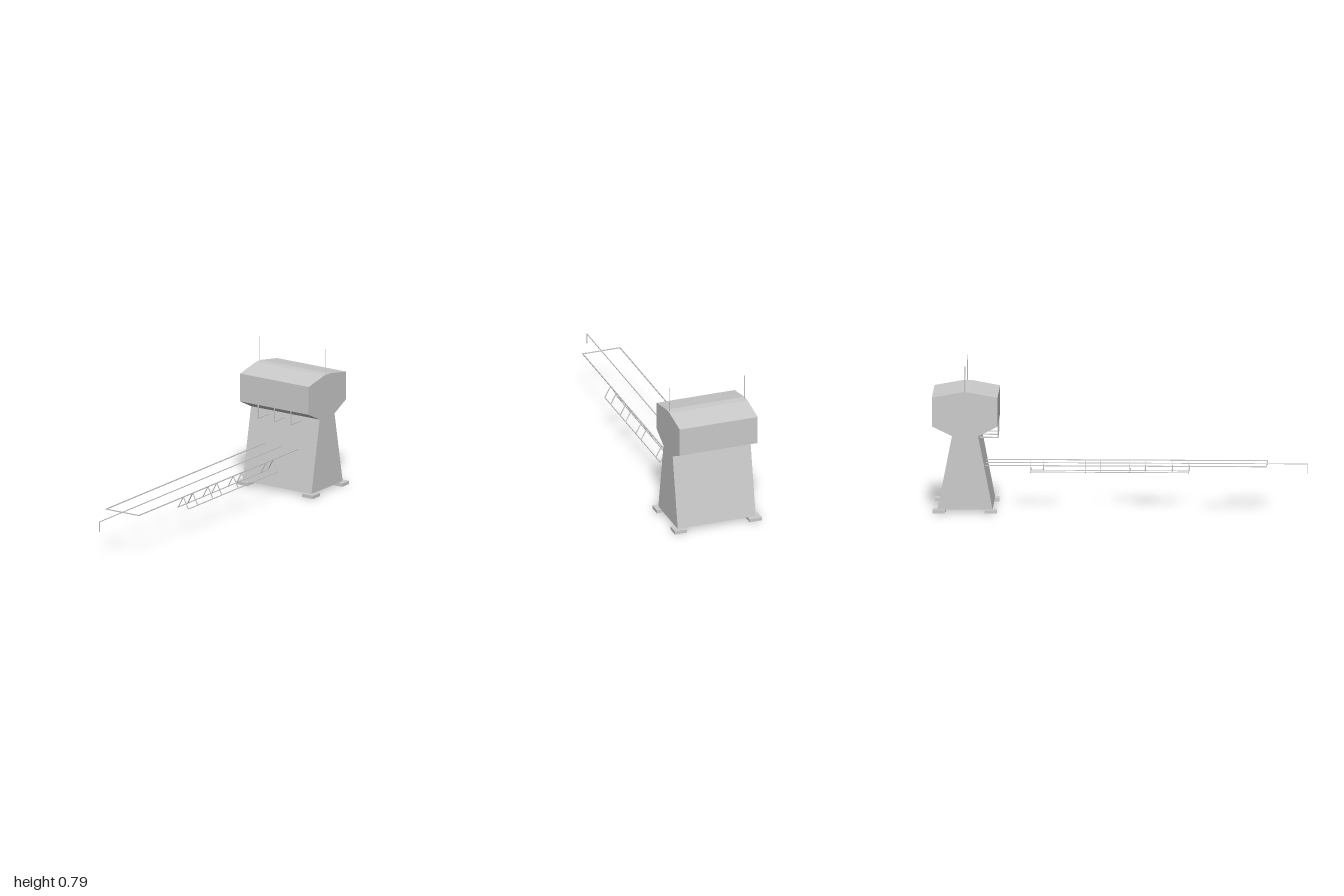
import * as THREE from 'three';

const material = new THREE.MeshStandardMaterial({ color: 0xcccccc, flatShading: true });

function add(parent, name, geometry, x = 0, y = 0, z = 0) {
  const mesh = new THREE.Mesh(geometry, material);
  mesh.name = name;
  mesh.position.set(x, y, z);
  parent.add(mesh);
  return mesh;
}

// Thin square bar between two points
function bar(parent, name, from, to, width = 0.004) {
  const a = new THREE.Vector3(...from), b = new THREE.Vector3(...to);
  const mesh = add(parent, name, new THREE.BoxGeometry(width, width, a.distanceTo(b) + width));
  mesh.position.copy(a).add(b).multiplyScalar(0.5);
  mesh.lookAt(b);
  return mesh;
}

function group(parent, name) {
  const g = new THREE.Group();
  g.name = name;
  parent.add(g);
  return g;
}

export function createModel() {
  const model = new THREE.Group();
  model.name = 'towerWithBoom';

  // Tower: side profile (z, y) extruded across x
  const profile = [
    [-0.676, 0.018], [-0.753, 0.413], [-0.65, 0.465], [-0.65, 0.62], [-0.8, 0.648],
    [-0.845, 0.648], [-1, 0.62], [-1, 0.465], [-0.893, 0.413], [-0.97, 0.018],
  ];
  const shape = new THREE.Shape(profile.map(([z, y]) => new THREE.Vector2(-z, y)));
  const tower = new THREE.ExtrudeGeometry(shape, { depth: 0.444, bevelEnabled: false });
  tower.translate(0, 0, -0.222).rotateY(Math.PI / 2);
  add(model, 'towerBody', tower);

  // Corner feet and roof antennas
  for (const side of [-1, 1]) {
    for (const z of [-0.686, -0.962]) {
      add(model, 'foot', new THREE.BoxGeometry(0.069, 0.018, 0.066), side * 0.2125, 0.009, z);
    }
    add(model, 'antenna', new THREE.CylinderGeometry(0.0018, 0.0022, 0.142, 6), side * 0.213, 0.716, -0.823);
  }

  // L-shaped brackets under the front overhang
  for (const x of [-0.106, 0, 0.106]) {
    const bracket = group(model, 'bracket');
    bar(bracket, 'bracketHanger', [x, 0.465, -0.652], [x, 0.39, -0.652], 0.005);
    bar(bracket, 'bracketArm', [x, 0.39, -0.652], [x, 0.39, -0.755], 0.005);
  }

  // Long boom frame with a centre rod and a drop at its tip
  const boom = group(model, 'boom');
  const y = 0.238;
  for (const x of [-0.106, 0.106]) bar(boom, 'sideRod', [x, y, -0.725], [x, y, 0.78], 0.005);
  bar(boom, 'endCrossbar', [-0.106, y, 0.78], [0.106, y, 0.78], 0.005);
  bar(boom, 'centreRod', [0, y, -0.725], [0, y, 0.998]);
  bar(boom, 'tipDrop', [0, y, 0.998], [0, 0.185, 0.998]);

  // Rack hung from the left side rod: splayed legs and two bottom rails
  const rack = group(model, 'hangingRack');
  const stations = [0.36, 0.272, 0.128, 0.045, -0.11, -0.19, -0.416, -0.483];
  for (const x of [0.072, 0.138]) {
    bar(rack, 'bottomRail', [x, 0.176, 0.36], [x, 0.176, -0.483]);
    for (const z of stations) bar(rack, 'rackLeg', [0.105, y, z], [x, 0.176, z]);
  }
  return model;
}
